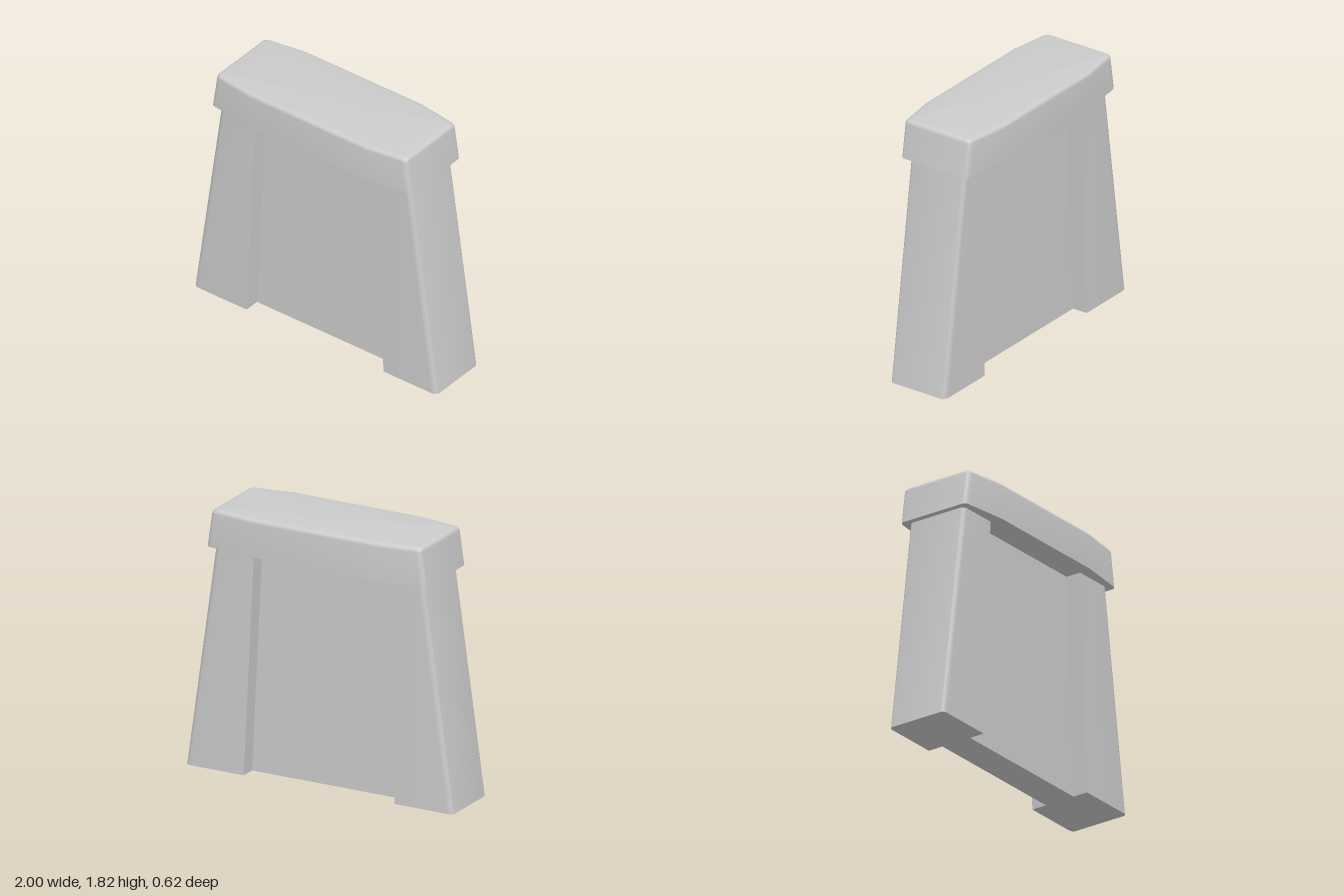
import * as THREE from 'three';
import { toCreasedNormals } from 'three/addons/utils/BufferGeometryUtils.js';

const material = new THREE.MeshStandardMaterial({ color: 0xcccccc });

// Skin a stack of closed outlines [x, z], each at its own height, and close both ends.
// Outlines run from +z to +x to -z to -x.
function loft(name, levels) {
  const rings = levels.map(({ y, outline }) => outline.map(([x, z]) => new THREE.Vector3(x, y, z)));
  const positions = [];
  const tri = (...points) => points.forEach((p) => positions.push(p.x, p.y, p.z));
  const n = rings[0].length;
  const centre = (ring) => ring.reduce((s, p) => s.add(p), new THREE.Vector3()).divideScalar(n);
  const bottom = rings[0], top = rings[rings.length - 1];
  const bottomCentre = centre(bottom), topCentre = centre(top);
  for (let i = 0; i < n; i++) {
    const j = (i + 1) % n;
    for (let r = 0; r < rings.length - 1; r++) {
      const a = rings[r], b = rings[r + 1];
      tri(a[i], a[j], b[j]);
      tri(a[i], b[j], b[i]);
    }
    tri(topCentre, top[i], top[j]);
    tri(bottomCentre, bottom[j], bottom[i]);
  }
  const geometry = new THREE.BufferGeometry();
  geometry.setAttribute('position', new THREE.Float32BufferAttribute(positions, 3));
  const mesh = new THREE.Mesh(toCreasedNormals(geometry, 0.6), material);
  mesh.name = name;
  return mesh;
}

// Quarter ellipse from the +z side of a corner round to its +x side
function corner(x, z, rx, rz, steps = 5) {
  return Array.from({ length: steps + 1 }, (_, i) => {
    const t = (i / steps) * Math.PI / 2;
    return [x - rx + rx * Math.sin(t), z - rz + rz * Math.cos(t)];
  });
}

const flipZ = (points) => points.map(([x, z]) => [x, -z]).reverse();
const flipX = (points) => points.map(([x, z]) => [-x, z]).reverse();

// Leg section: square inner edge, rounded outer corners
function legOutline(inner, outer) {
  const front = [[inner, 0.222], ...corner(outer, 0.222, 0.04, 0.025)];
  return [...front, ...flipZ(front)];
}

// Cap section: straight middle, sides tapering to rounded ends
function capOutline(end, inset) {
  const quarter = [[0.48, 0.308 - inset], ...corner(end, 0.27 - inset, 0.045, 0.03)];
  const right = [...quarter, ...flipZ(quarter)];
  return [...right, ...flipX(right)];
}

const rectangle = (x, z) => [[-x, z], [x, z], [x, -z], [-x, -z]];

export function createModel() {
  const model = new THREE.Group();
  model.name = 'pedestal';
  const legTop = 1.57;

  // Sloping side legs
  for (const side of ['left', 'right']) {
    const leg = loft(side + 'Leg', [
      { y: 0, outline: legOutline(0.565, 1) },
      { y: legTop, outline: legOutline(0.488, 0.777) },
    ]);
    if (side === 'right') leg.rotation.y = Math.PI;
    model.add(leg);
  }

  // Recessed panel between the legs
  model.add(loft('panel', [
    { y: 0, outline: rectangle(0.565, 0.112) },
    { y: legTop, outline: rectangle(0.488, 0.112) },
  ]));

  // Overhanging cap with a softened top edge
  const radius = 0.03, capTop = 1.815;
  const levels = [{ y: 1.552, outline: capOutline(0.822, 0) }];
  for (let i = 0; i <= 5; i++) {
    const t = (i / 5) * Math.PI / 2;
    const inset = radius * (1 - Math.cos(t));
    levels.push({
      y: capTop - radius + radius * Math.sin(t),
      outline: capOutline(0.787 - inset, inset),
    });
  }
  model.add(loft('cap', levels));
  return model;
}
